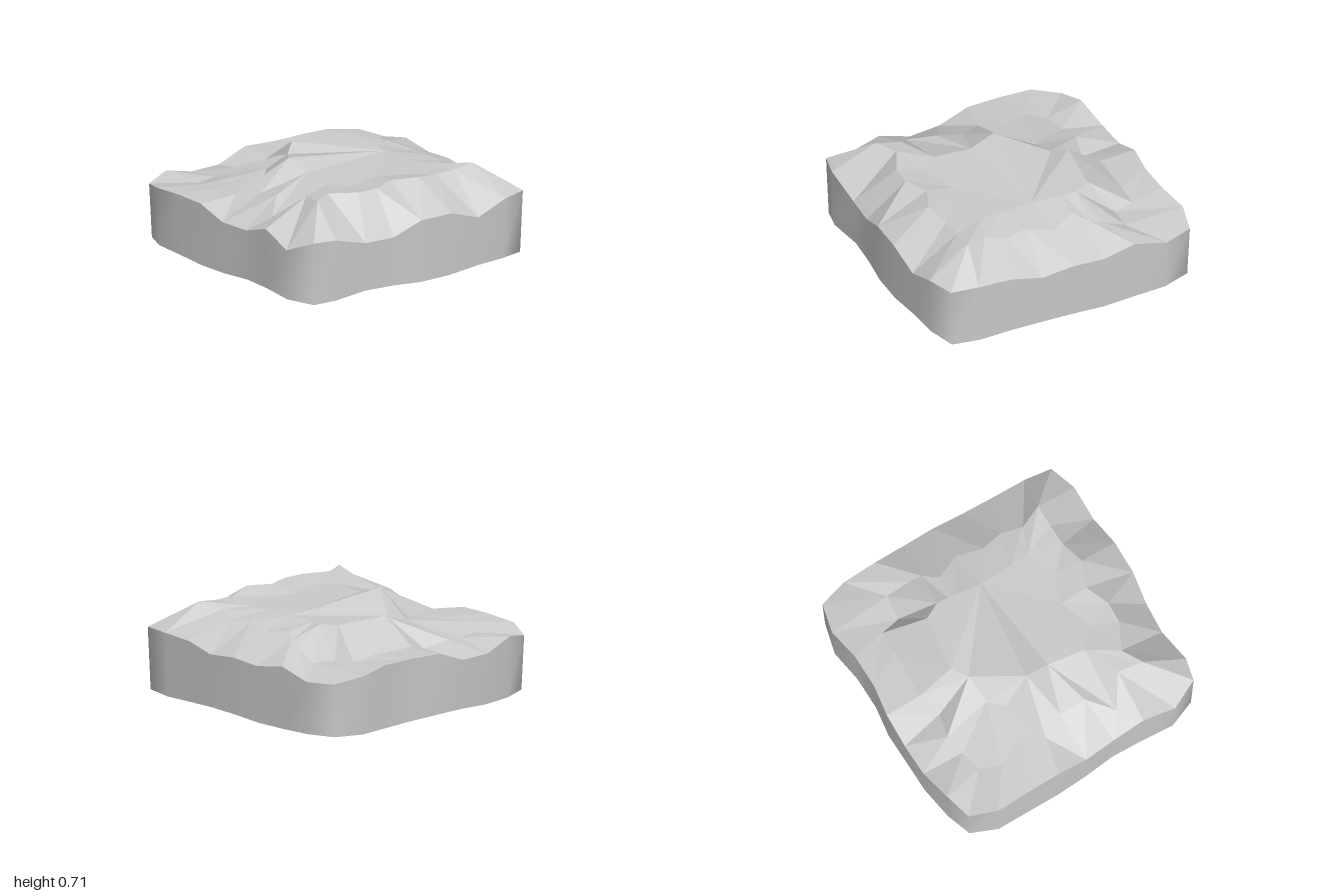
import * as THREE from 'three';

// Each ring lists [x, z, y], counter-clockwise from above, starting at the front corner at -x.
const OUTLINE = [
  [-.91, .91, .42], [-.72, .995, .46], [-.47, .995, .475], [-.23, .995, .475], [0, .985, .4], [.24, .965, .4], [.47, .975, .475], [.72, .99, .39],
  [.92, .91, .475], [.96, .75, .475], [.94, .47, .39], [.96, .24, .39], [.99, .02, .475], [1, -.23, .475], [.985, -.48, .39], [.98, -.72, .475],
  [.92, -.92, .475], [.72, -.95, .475], [.47, -.96, .465], [.24, -.985, .42], [0, -.995, .445], [-.23, -1, .43], [-.47, -.99, .47], [-.72, -1, .41],
  [-.93, -.94, .42], [-.99, -.72, .45], [-.955, -.48, .475], [-.96, -.23, .475], [-1, 0, .475], [-1, .23, .39], [-1, .47, .39], [-.965, .72, .46],
];
const SHOULDER = [
  [-.67, .66, .44], [-.53, .73, .48], [-.34, .65, .5], [-.17, .73, .5], [0, .65, .54], [.19, .66, .58], [.35, .82, .5], [.48, .63, .64],
  [.66, .67, .665], [.58, .52, .665], [.68, .33, .66], [.69, .18, .66], [.62, 0, .665], [.7, -.18, .67], [.66, -.36, .64], [.66, -.52, .64],
  [.66, -.68, .66], [.5, -.62, .62], [.35, -.67, .59], [.19, -.64, .6], [0, -.7, .57], [-.18, -.62, .6], [-.27, -.71, .56], [-.36, -.73, .53],
  [-.53, -.74, .46], [-.55, -.56, .45], [-.7, -.53, .46], [-.71, -.36, .475], [-.73, 0, .475], [-.68, .17, .42], [-.73, .35, .46], [-.7, .5, .44],
];
const PLATEAU = [
  [-.38, .3, .54], [-.28, .4, .53], [-.08, .34, .71], [.1, .33, .645], [.37, .37, .64], [.5, .25, .635], [.42, 0, .63], [.5, -.2, .63],
  [.42, -.43, .63], [.25, -.4, .63], [.03, -.42, .63], [-.2, -.4, .635], [-.3, -.46, .64], [-.42, -.4, .645], [-.48, 0, .65], [-.4, .1, .6],
];
// Plateau polygons, each fanned from its first corner: the far ridge end, then the peak
const PLATEAU_FANS = [[10, 11, 12, 13, 14, 15, 2, 3, 4, 5, 6, 7, 8, 9], [2, 15, 0, 1]];

const toVector = ([x, z, y]) => new THREE.Vector3(x, y, z);

function meshFrom(name, points, faces, flatShading) {
  const geometry = new THREE.BufferGeometry().setFromPoints(points);
  geometry.setIndex(faces.flat());
  geometry.computeVertexNormals();
  const mesh = new THREE.Mesh(geometry, new THREE.MeshStandardMaterial({ color: 0xcccccc, flatShading }));
  mesh.name = name;
  return mesh;
}

// Quad with corners a, b, c, d in turn, split along a-c or b-d
const quad = (a, b, c, d, splitBD = false) => (splitBD ? [a, b, d, b, c, d] : [a, b, c, a, c, d]);

export function createModel() {
  const group = new THREE.Group();
  group.name = 'rockyGroundTile';
  const outer = OUTLINE.map(toVector);
  const n = outer.length;

  // Faceted rocky top: outer slope, inner slope and plateau; the splits mirror about each corner
  const topFaces = [];
  const inner = (i) => 2 * n + Math.ceil(i / 2) % PLATEAU.length;
  for (let i = 0; i < n; i++) {
    const j = (i + 1) % n;
    const afterCorner = i % 8 < 4;
    topFaces.push(quad(i, j, n + j, n + i, afterCorner));
    if (inner(i) === inner(j)) topFaces.push([n + i, n + j, inner(j)]);
    else topFaces.push(quad(n + i, n + j, inner(j), inner(i), afterCorner));
  }
  for (const fan of PLATEAU_FANS) {
    for (let k = 1; k < fan.length - 1; k++) topFaces.push([fan[0], fan[k], fan[k + 1]].map((v) => 2 * n + v));
  }
  group.add(meshFrom('rockyTop', [...outer, ...SHOULDER.map(toVector), ...PLATEAU.map(toVector)], topFaces, true));

  // Smooth wall down to a gently wavy lower edge
  const lower = outer.map((p, i) => new THREE.Vector3(p.x * .985, .031 + .01 * Math.cos((i - 1) * Math.PI * 14 / n), p.z * .985));
  const wallFaces = [];
  for (let i = 0; i < n; i++) {
    const j = (i + 1) % n;
    wallFaces.push(quad(i, j, n + j, n + i));
  }
  group.add(meshFrom('sideWall', [...lower, ...outer], wallFaces, false));

  // Uneven underside: rings shrinking to the middle, their height following a wave along x
  const underPoint = (x, z) => new THREE.Vector3(x, .02 + .018 * Math.sin(3 * x + .52), z);
  const underPoints = [...lower];
  const scales = [.8, .55, .28];
  for (const s of scales) underPoints.push(...lower.map((p) => underPoint(p.x * s, p.z * s)));
  underPoints.push(underPoint(0, 0));
  const underFaces = [];
  for (let i = 0; i < n; i++) {
    const j = (i + 1) % n;
    scales.forEach((_, r) => underFaces.push(quad(r * n + j, r * n + i, (r + 1) * n + i, (r + 1) * n + j)));
    underFaces.push([scales.length * n + j, scales.length * n + i, underPoints.length - 1]);
  }
  group.add(meshFrom('underside', underPoints, underFaces, false));
  return group;
}
